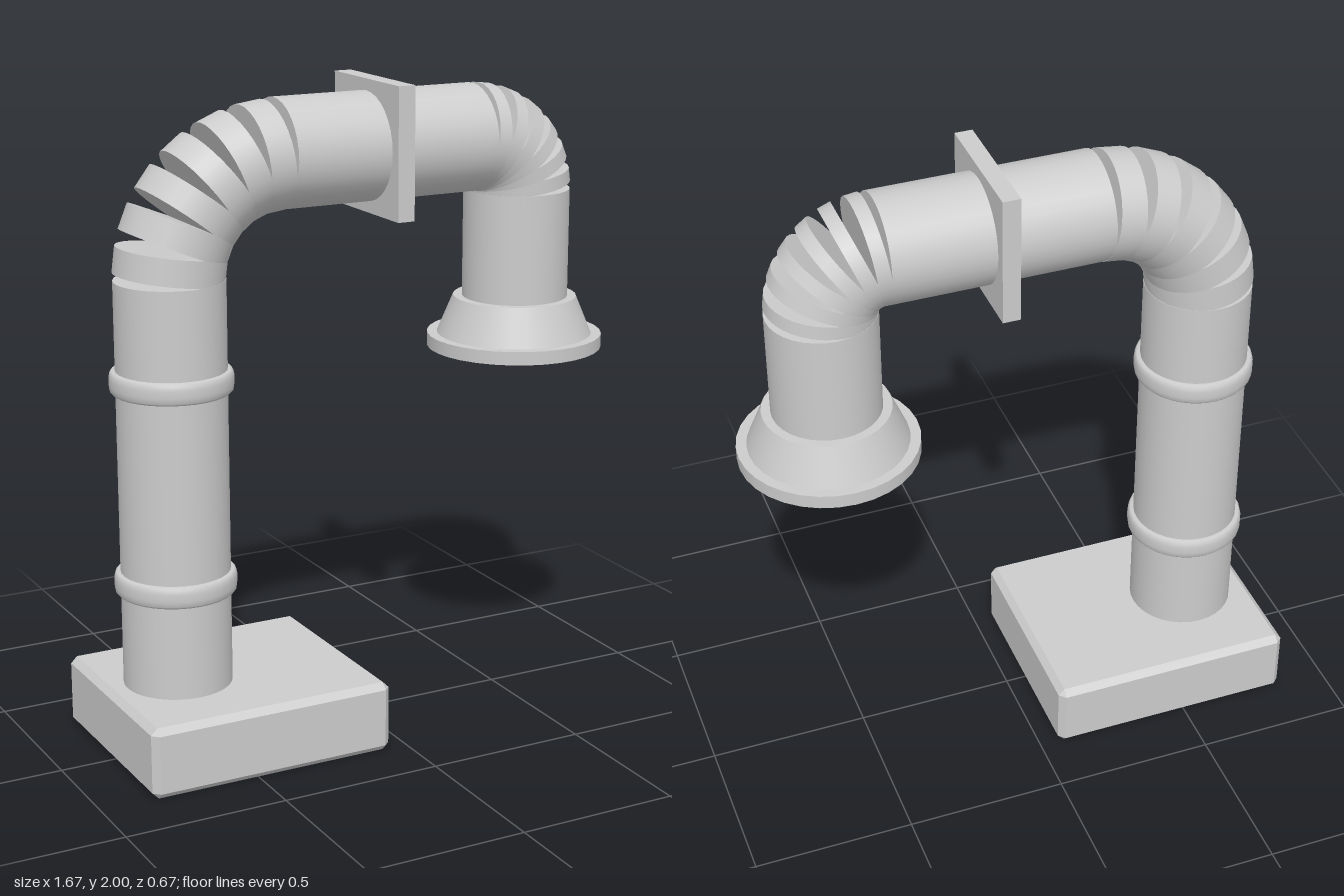
import * as THREE from 'three';
import { ConvexGeometry } from 'three/addons/geometries/ConvexGeometry.js';

const SIDES = 32;
const PIPE_R = 0.165;

export function createModel() {
  const group = new THREE.Group();
  const grey = new THREE.MeshStandardMaterial({ color: 0xcccccc });
  grey.name = 'light grey';

  const add = (name, geometry, x, y, z = 0) => {
    const mesh = new THREE.Mesh(geometry, grey);
    mesh.name = name;
    mesh.position.set(x, y, z);
    group.add(mesh);
    return mesh;
  };

  // Box with every edge and corner chamfered by c
  const chamferBox = (w, h, d, c) => {
    const points = [];
    for (const sx of [-1, 1]) for (const sy of [-1, 1]) for (const sz of [-1, 1]) {
      const x = sx * w / 2, y = sy * h / 2, z = sz * d / 2;
      points.push(
        new THREE.Vector3(x, y - sy * c, z - sz * c),
        new THREE.Vector3(x - sx * c, y, z - sz * c),
        new THREE.Vector3(x - sx * c, y - sy * c, z));
    }
    return new ConvexGeometry(points);
  };

  const pipe = (length, r = PIPE_R) => new THREE.CylinderGeometry(r, r, length, SIDES);

  // Base block and upright pipe
  add('base', chamferBox(0.78, 0.22, 0.67, 0.02), -0.45, 0.11);
  add('uprightPipe', pipe(1.25), -0.615, 0.835);

  // Rounded collars on the upright pipe
  const collarProfile = [[0.16, -0.033], [0.176, -0.033], [0.182, -0.026], [0.184, -0.01],
    [0.184, 0.012], [0.181, 0.026], [0.175, 0.033], [0.16, 0.033]]
    .map(([r, y]) => new THREE.Vector2(r, y));
  for (const y of [0.543, 1.16]) add('collar', new THREE.LatheGeometry(collarProfile, SIDES), -0.615, y);

  // Horizontal pipe with square wall plate
  add('crossPipe', pipe(0.67), 0.06, 1.8).rotation.z = Math.PI / 2;
  add('wallPlate', new THREE.BoxGeometry(0.055, 0.4, 0.4), 0.0575, 1.8);

  // Elbows: six separate discs fanned around a quarter turn
  const elbow = (name, cx, cy, bend, thickness, side) => {
    for (let i = 0; i < 6; i++) {
      const a = THREE.MathUtils.degToRad(7.5 + 15 * i);
      const disc = add(name, pipe(thickness), cx + side * bend * Math.cos(a), cy + bend * Math.sin(a));
      disc.rotation.z = side * a;
    }
  };
  elbow('leftElbowDisc', -0.28, 1.46, 0.335, 0.08, -1);
  elbow('rightElbowDisc', 0.395, 1.635, 0.165, 0.042, 1);

  // Drop pipe ending in a flared mouth and flange
  add('dropPipe', pipe(0.36), 0.56, 1.45);
  add('flare', new THREE.CylinderGeometry(0.193, 0.245, 0.125, SIDES), 0.56, 1.2275);
  add('flange', new THREE.CylinderGeometry(0.274, 0.274, 0.042, SIDES), 0.56, 1.15);

  return group;
}
